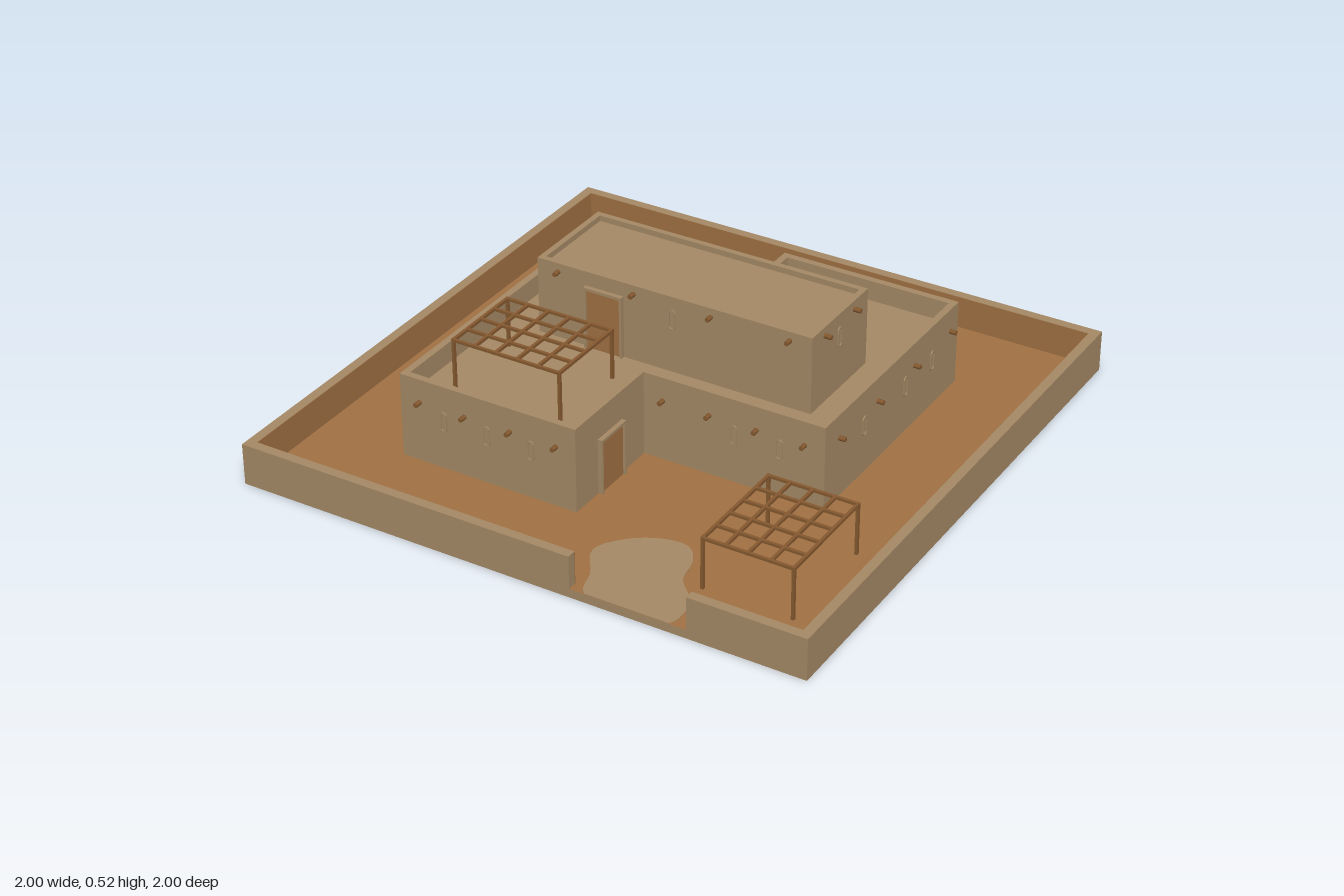
import * as THREE from 'three';

export function createModel() {
  const model = new THREE.Group();
  model.name = 'adobeCompound';
  const mat = (name, color) => {
    const m = new THREE.MeshStandardMaterial({ color });
    m.name = name;
    return m;
  };
  const adobe = mat('adobe', 0xa68a66);
  const clay = mat('redClay', 0xa17143);
  const wood = mat('wood', 0x85592f);

  const add = (parent, name, geometry, material, x = 0, y = 0, z = 0, ry = 0) => {
    const mesh = new THREE.Mesh(geometry, material);
    mesh.name = name;
    mesh.position.set(x, y, z);
    mesh.rotation.y = ry;
    parent.add(mesh);
    return mesh;
  };
  const group = (name) => {
    const g = new THREE.Group();
    g.name = name;
    model.add(g);
    return g;
  };
  const box = (w, h, d) => new THREE.BoxGeometry(w, h, d);
  const toVectors = (pts) => pts.map(([x, z]) => new THREE.Vector2(x, z));

  // Vertical prism from a plan outline given as [x, z] points
  const prism = (outline, bottom, top, hole) => {
    const shape = new THREE.Shape(toVectors(outline));
    if (hole) shape.holes.push(new THREE.Path(toVectors(hole)));
    const g = new THREE.ExtrudeGeometry(shape, { depth: top - bottom, bevelEnabled: false });
    return g.rotateX(Math.PI / 2).translate(0, top, 0);
  };

  const GROUND = 0.03, ROOF = 0.255, WALL = 0.145;

  // Courtyard slab with a clay top
  const yard = group('courtyard');
  add(yard, 'groundSlab', box(2, GROUND, 2), [adobe, adobe, clay, adobe, adobe, adobe], 0, GROUND / 2, 0);

  // Perimeter wall, open at the gateway
  const w = 0.967;
  add(yard, 'perimeterWall', prism([
    [0.2, 1], [-1, 1], [-1, -1], [1, -1], [1, 1], [0.6, 1],
    [0.6, w], [w, w], [w, -w], [-w, -w], [-w, w], [0.2, w],
  ], GROUND, WALL), adobe);

  // Clay lining on the inner wall faces
  const lining = (length, x, z, ry) =>
    add(yard, 'wallLining', box(length, WALL - GROUND - 0.001, 0.003), clay, x, (WALL + GROUND) / 2, z, ry);
  lining(2 * w, 0, -w, 0);
  lining(2 * w, -w, 0, Math.PI / 2);
  lining(2 * w, w, 0, Math.PI / 2);
  lining(w + 0.2, (0.2 - w) / 2, w, 0);
  lining(w - 0.6, (0.6 + w) / 2, w, 0);

  // Pale sand patches on the ground
  const patch = (pts) => {
    const smooth = new THREE.CatmullRomCurve3(pts.map(([x, z]) => new THREE.Vector3(x, 0, z)), true)
      .getPoints(48).map((p) => [p.x, Math.min(p.z, 0.999)]);
    add(yard, 'sandPatch', prism(smooth, GROUND, GROUND + 0.002), adobe);
  };
  patch([[0.15, 0.79], [0.2, 0.7], [0.3, 0.635], [0.39, 0.63], [0.44, 0.69], [0.465, 0.79],
    [0.53, 0.86], [0.555, 0.94], [0.54, 0.999], [0.4, 0.999], [0.25, 0.999], [0.21, 0.9]]);
  patch([[-0.815, -0.6], [-0.81, -0.7], [-0.75, -0.79], [-0.62, -0.82], [-0.48, -0.79],
    [-0.4, -0.745], [-0.45, -0.7], [-0.56, -0.66], [-0.68, -0.58], [-0.77, -0.54]]);

  // Lower storey: two offset wings with a roof parapet
  const lower = group('lowerStorey');
  const plan = (t) => [
    [-0.645 + t, -0.4 + t], [t, -0.4 + t], [t, -0.645 + t], [0.643 - t, -0.645 + t],
    [0.643 - t, 0.25 - t], [-t, 0.25 - t], [-t, 0.645 - t], [-0.645 + t, 0.645 - t],
  ];
  add(lower, 'lowerWalls', prism(plan(0), GROUND, ROOF), adobe);
  add(lower, 'lowerParapet', prism(plan(0), ROOF, 0.327, plan(0.024)), adobe);

  // Upper storey
  const upper = group('upperStorey');
  const rect = (t) => [[-0.485 + t, -0.26 + t], [0.51 - t, -0.26 + t], [0.51 - t, 0.1 - t], [-0.485 + t, 0.1 - t]];
  add(upper, 'upperWalls', prism(rect(0), ROOF, 0.505), adobe);
  add(upper, 'upperParapet', prism(rect(0), 0.505, 0.525, rect(0.02)), adobe);

  // Wall directions: rotation that turns local +z outwards
  const F = 0, B = Math.PI, R = Math.PI / 2, L = -Math.PI / 2;
  const at = (ry, across, face) => (ry === F || ry === B ? [across, face] : [face, across]);

  // Projecting roof beam ends
  const beamGeo = new THREE.CylinderGeometry(0.008, 0.008, 0.05, 8).rotateX(Math.PI / 2);
  const beams = (parent, y, ry, face, list) => list.forEach((a) => {
    const [x, z] = at(ry, a, face);
    add(parent, 'roofBeamEnd', beamGeo, wood, x, y, z, ry);
  });
  const east = [0.07, 0.237, 0.405, 0.573], west = east.map((v) => -v);
  beams(lower, 0.245, F, 0.645, west);
  beams(lower, 0.245, F, 0.25, east);
  beams(lower, 0.245, B, -0.645, east);
  beams(lower, 0.245, B, -0.4, west);
  beams(lower, 0.245, L, -0.643, [-0.27, -0.02, 0.23, 0.48]);
  beams(lower, 0.245, R, 0.641, [-0.59, -0.34, -0.09, 0.16]);
  const upperBeams = [-0.407, -0.127, 0.153, 0.433];
  beams(upper, 0.495, F, 0.1, upperBeams);
  beams(upper, 0.495, B, -0.26, upperBeams);
  beams(upper, 0.495, L, -0.485, [-0.17, 0.02]);
  beams(upper, 0.495, R, 0.51, [-0.17, 0.02]);

  // Narrow round-ended window surrounds
  const slot = (C, r, h) => {
    const s = new C();
    s.absarc(0, h, r, 0, Math.PI, false);
    s.absarc(0, -h, r, Math.PI, Math.PI * 2, false);
    s.closePath();
    return s;
  };
  const slotShape = slot(THREE.Shape, 0.013, 0.023);
  slotShape.holes.push(slot(THREE.Path, 0.008, 0.023));
  const windowGeo = new THREE.ExtrudeGeometry(slotShape, { depth: 0.004, bevelEnabled: false, curveSegments: 6 });
  const windows = (parent, y, ry, face, list) => list.forEach((a) => {
    const [x, z] = at(ry, a, face);
    add(parent, 'slotWindow', windowGeo, adobe, x, y, z, ry);
  });
  windows(lower, 0.2, F, 0.645, [-0.485, -0.325, -0.163]);
  windows(lower, 0.2, F, 0.25, [0.323, 0.485]);
  windows(lower, 0.2, B, -0.645, [0.485, 0.325, 0.163]);
  windows(lower, 0.2, B, -0.4, [-0.323, -0.485]);
  windows(lower, 0.2, R, 0.643, [-0.005, -0.28, -0.465]);
  windows(lower, 0.2, L, -0.645, [0.005, 0.28, 0.465]);
  windows(upper, 0.443, F, 0.1, [0.013]);
  windows(upper, 0.443, B, -0.26, [0.013]);
  windows(upper, 0.443, R, 0.51, [-0.077]);
  windows(upper, 0.443, L, -0.485, [-0.077]);

  // Doors: clay panel inside a slim raised frame
  const door = (name, ry, across, face, bottom, top, parent) => {
    const g = new THREE.Group();
    g.name = name;
    const h = top - bottom, half = 0.066;
    add(g, 'doorPanel', box(0.124, h - 0.01, 0.008), clay, 0, h / 2 - 0.005, 0.004);
    for (const s of [-1, 1]) add(g, 'doorJamb', box(0.008, h, 0.016), adobe, s * half, h / 2, 0.008);
    add(g, 'doorLintel', box(0.124, 0.01, 0.016), adobe, 0, h - 0.005, 0.008);
    const [x, z] = at(ry, across, face);
    g.position.set(x, bottom, z);
    g.rotation.y = ry;
    parent.add(g);
  };
  door('frontWingDoor', R, 0.45, 0, GROUND, 0.225, lower);
  door('backWingDoor', L, -0.533, 0, GROUND, 0.225, lower);
  door('frontTerraceDoor', F, -0.235, 0.1, ROOF, 0.475, upper);
  door('backTerraceDoor', B, 0.26, -0.26, ROOF, 0.475, upper);

  // Pergolas: four posts carrying a lattice
  const pergola = (name, x0, x1, nx, z0, z1, nz, bottom, top) => {
    const g = group(name);
    const t = 0.01;
    const cx = (x0 + x1) / 2, cz = (z0 + z1) / 2, y = top - t / 2;
    for (const x of [x0, x1]) for (const z of [z0, z1])
      add(g, 'post', box(t, top - t - bottom, t), wood, x, (top - t + bottom) / 2, z);
    for (let i = 0; i <= nx; i++)
      add(g, 'longBeam', box(t, t, z1 - z0 + t), wood, x0 + (x1 - x0) * i / nx, y, cz);
    for (let j = 0; j <= nz; j++)
      add(g, 'crossBeam', box(x1 - x0 + t, t * 0.9, t), wood, cx, y, z0 + (z1 - z0) * j / nz);
  };
  pergola('yardPergola', 0.535, 0.84, 4, 0.405, 0.795, 5, GROUND, 0.213);
  pergola('terracePergola', -0.517, -0.128, 5, 0.23, 0.53, 4, ROOF, 0.433);

  return model;
}
